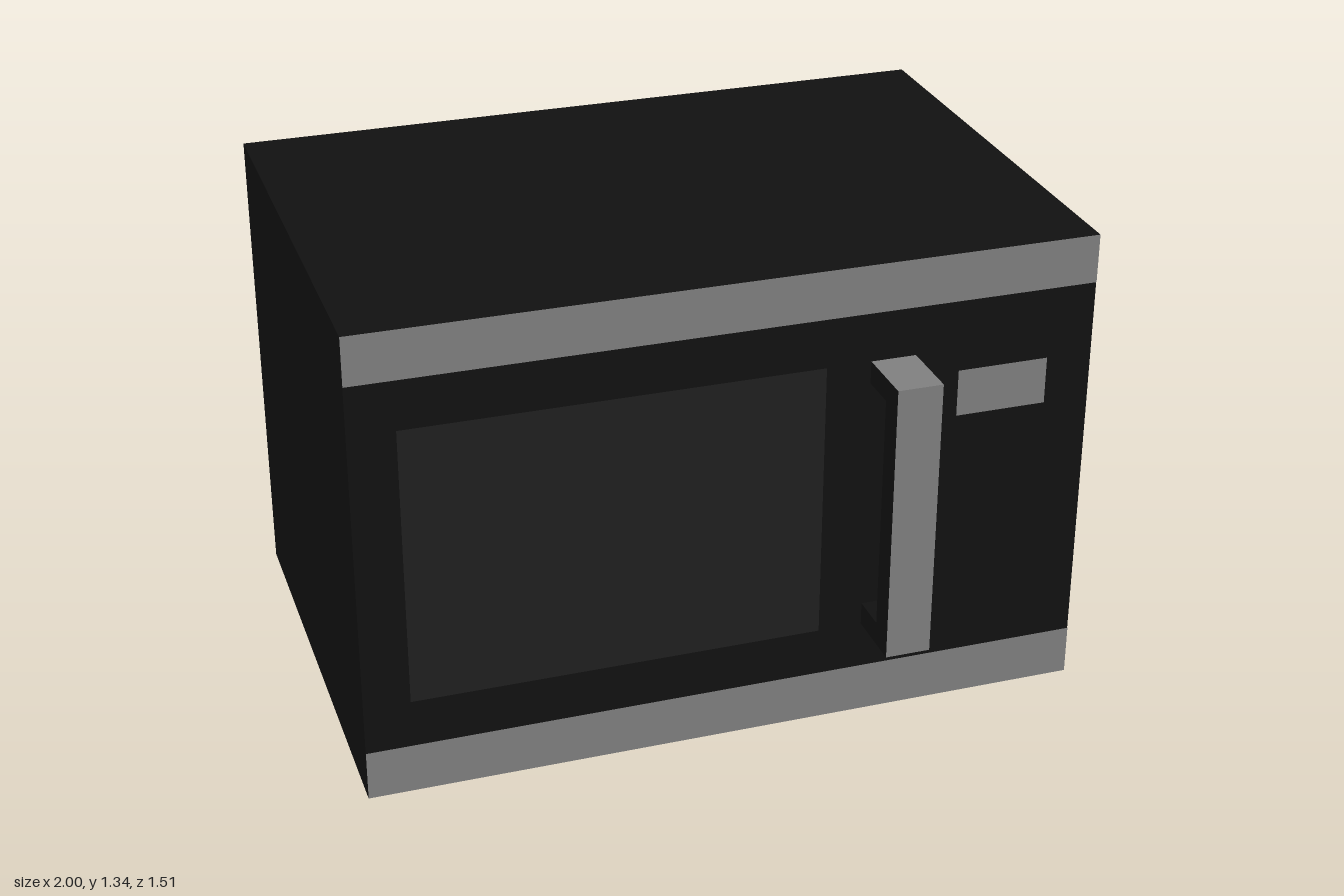
import * as THREE from 'three';

const mat = (color) => new THREE.MeshStandardMaterial({ color, flatShading: true });

export function createModel() {
  const model = new THREE.Group();
  model.name = 'microwave';
  const dark = mat(0x111111), glass = mat(0x202020), grey = mat(0x808080);
  const frontZ = 0.575, backZ = -0.755;

  // Box from its limits; material may be one or six (+x -x +y -y +z -z)
  function box(name, [x0, x1], [y0, y1], [z0, z1], material, parent = model) {
    const mesh = new THREE.Mesh(new THREE.BoxGeometry(x1 - x0, y1 - y0, z1 - z0), material);
    mesh.position.set((x0 + x1) / 2, (y0 + y1) / 2, (z0 + z1) / 2);
    mesh.name = name;
    parent.add(mesh);
  }

  // Flat panel lying just on the front face
  function panel(name, [x0, x1], [y0, y1], material) {
    const mesh = new THREE.Mesh(new THREE.PlaneGeometry(x1 - x0, y1 - y0), material);
    mesh.position.set((x0 + x1) / 2, (y0 + y1) / 2, frontZ + 0.002);
    mesh.name = name;
    model.add(mesh);
  }

  box('body', [-1, 1], [0, 1.335], [backZ, frontZ], dark);
  panel('topTrim', [-1, 1], [1.2, 1.335], grey);
  panel('bottomTrim', [-1, 1], [0, 0.14], grey);
  panel('doorWindow', [-0.875, 0.25], [0.275, 1.063], glass);
  panel('display', [0.62, 0.873], [0.868, 1.0], grey);

  // Handle: grey on its outer faces, dark on its sides and inside
  const handle = new THREE.Group();
  handle.name = 'handle';
  model.add(handle);
  const hx = [0.373, 0.497], barZ = 0.68;
  box('handleBar', hx, [0.273, 1.063], [barZ, 0.755], [dark, dark, grey, grey, grey, dark], handle);
  box('upperHandleArm', hx, [1.0, 1.063], [frontZ, barZ], [dark, dark, grey, dark, dark, dark], handle);
  box('lowerHandleArm', hx, [0.273, 0.337], [frontZ, barZ], [dark, dark, dark, grey, dark, dark], handle);

  return model;
}
